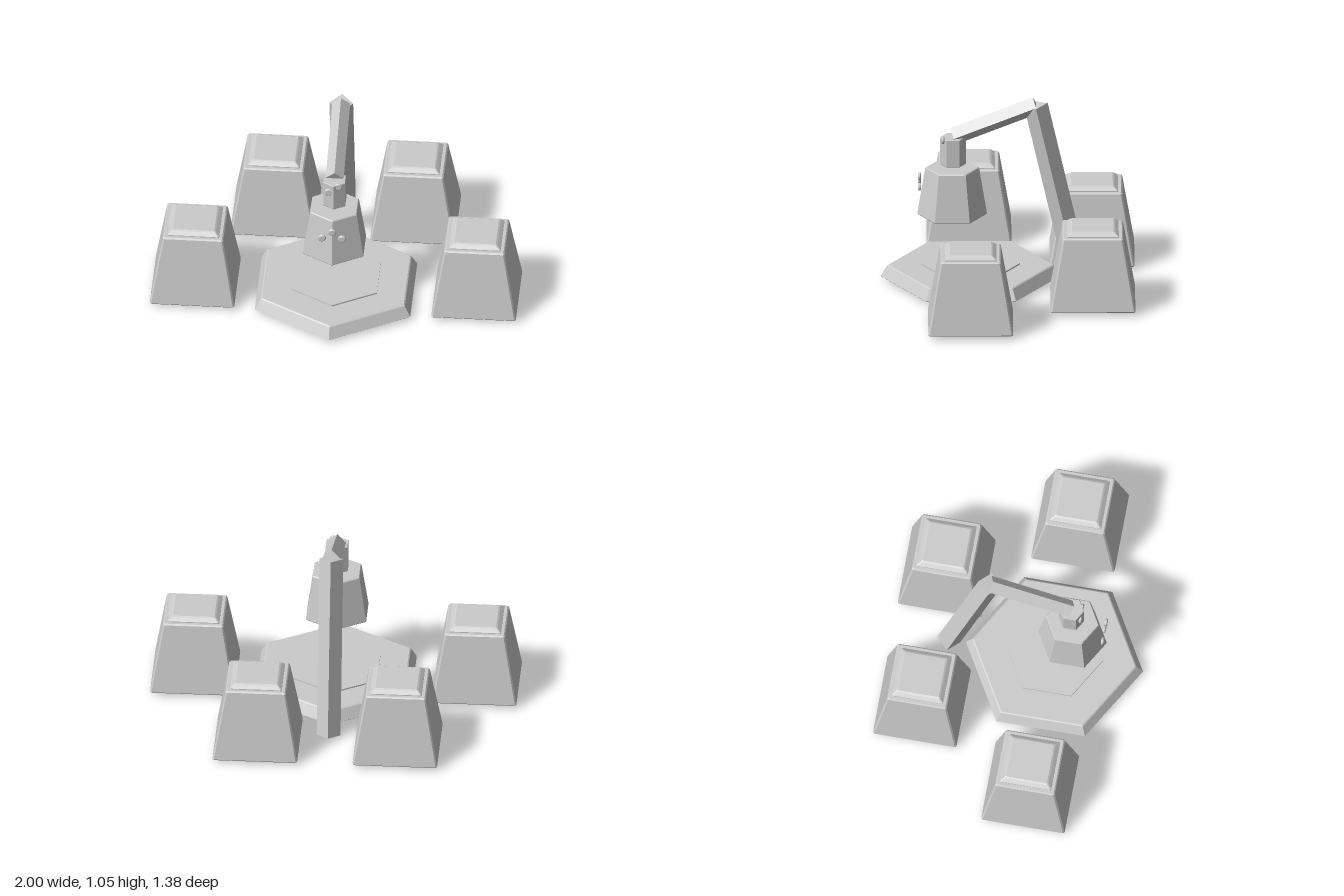
import * as THREE from 'three';

const material = new THREE.MeshStandardMaterial({ color: 0xcccccc, flatShading: true });

function addMesh(parent, name, geometry, x = 0, y = 0, z = 0) {
  const mesh = new THREE.Mesh(geometry, material);
  mesh.name = name;
  mesh.position.set(x, y, z);
  parent.add(mesh);
  return mesh;
}

// Square outline with chamfered corners, h = half width, c = chamfer
function squareRing(h, c) {
  const k = h - c;
  return [[k, h], [h, k], [h, -k], [k, -h], [-k, -h], [-h, -k], [-h, k], [-k, h]];
}

// Hexagon outline with a corner towards +z
function hexRing(r) {
  return Array.from({ length: 6 }, (_, i) => {
    const a = (i * Math.PI) / 3;
    return [r * Math.sin(a), r * Math.cos(a)];
  });
}

// Closed solid through rings stacked in y: each section is [y, ring]
function loft(sections) {
  const n = sections[0][1].length;
  const pos = [], index = [];
  for (const [y, ring] of sections) for (const [x, z] of ring) pos.push(x, y, z);
  const last = sections.length - 1;
  for (let s = 0; s < last; s++) {
    for (let i = 0; i < n; i++) {
      const j = (i + 1) % n;
      const a = s * n + i, b = s * n + j;
      index.push(a, b, b + n, a, b + n, a + n);
    }
  }
  for (let i = 1; i < n - 1; i++) {
    index.push(0, i + 1, i);
    index.push(last * n, last * n + i, last * n + i + 1);
  }
  const indexed = new THREE.BufferGeometry();
  indexed.setAttribute('position', new THREE.Float32BufferAttribute(pos, 3));
  indexed.setIndex(index);
  const geometry = indexed.toNonIndexed();
  geometry.computeVertexNormals();
  return geometry;
}

// Diamond-section beam between two points in the x = 0 plane
function addBeam(parent, name, radius, from, to) {
  const dir = to.clone().sub(from);
  const mesh = addMesh(parent, name, new THREE.CylinderGeometry(radius, radius, dir.length(), 4));
  mesh.position.copy(from).add(to).multiplyScalar(0.5);
  mesh.rotation.x = Math.atan2(dir.z, dir.y);
}

// Small round button facing +z
function addButton(parent, name, x, y, z) {
  const r = 0.022, t = 0.008;
  const profile = [[0, -t], [r * 0.75, -t], [r, -t * 0.4], [r, t * 0.4], [r * 0.75, t], [0, t]];
  const geometry = new THREE.LatheGeometry(profile.map(([a, b]) => new THREE.Vector2(a, b)), 12);
  geometry.rotateX(Math.PI / 2);
  addMesh(parent, name, geometry, x, y, z);
}

export function createModel() {
  const model = new THREE.Group();
  model.name = 'lampTableWithStools';

  // Hexagonal platform and its raised centre plate
  const base = new THREE.Group();
  base.name = 'base';
  model.add(base);
  addMesh(base, 'platform', loft([
    [0.02, hexRing(0.485)], [0.024, hexRing(0.49)], [0.084, hexRing(0.455)], [0.089, hexRing(0.447)],
  ]), 0, 0, 0.2);
  addMesh(base, 'centrePlate', loft([[0.08, hexRing(0.27)], [0.097, hexRing(0.27)]]), 0, 0, 0.2);

  // Leaning post and sloping arm
  const crane = new THREE.Group();
  crane.name = 'crane';
  model.add(crane);
  const elbow = new THREE.Vector3(0, 1.006, -0.157);
  addBeam(crane, 'post', 0.065, new THREE.Vector3(0, 0.016, -0.384), elbow);
  addBeam(crane, 'arm', 0.049, elbow, new THREE.Vector3(0, 0.829, 0.292));

  // Hanging neck and flared head, each with buttons at the front
  const lamp = new THREE.Group();
  lamp.name = 'lamp';
  model.add(lamp);
  addMesh(lamp, 'neck', loft([
    [0.668, hexRing(0.067)], [0.672, hexRing(0.07)], [0.822, hexRing(0.07)], [0.826, hexRing(0.067)],
  ]), 0, 0, 0.295);
  addMesh(lamp, 'head', loft([
    [0.38, hexRing(0.187)], [0.384, hexRing(0.19)], [0.645, hexRing(0.147)], [0.65, hexRing(0.142)],
  ]), 0, 0, 0.3);
  for (const [x, y] of [[-0.055, 0.557], [0, 0.598], [0.055, 0.557]]) {
    addButton(lamp, 'headButton', x, y, 0.477);
  }
  for (const [x, y] of [[-0.03, 0.775], [0.025, 0.815]]) {
    addButton(lamp, 'neckButton', x, y, 0.35);
  }

  // Four tapered stools with bevelled cushions
  const bodyGeometry = loft([
    [0.02, squareRing(0.228, 0.008)], [0.025, squareRing(0.231, 0.008)],
    [0.416, squareRing(0.165, 0.008)], [0.423, squareRing(0.158, 0.006)],
  ]);
  const cushionGeometry = loft([
    [0.41, squareRing(0.141, 0.005)], [0.428, squareRing(0.141, 0.005)],
    [0.444, squareRing(0.122, 0.005)], [0.449, squareRing(0.113, 0.005)],
  ]);
  for (const side of [-1, 1]) {
    for (const [x, z] of [[0.769, 0.204], [0.382, -0.464]]) {
      const stool = new THREE.Group();
      stool.name = (side > 0 ? 'left' : 'right') + (z > 0 ? 'Front' : 'Rear') + 'Stool';
      stool.position.set(side * x, 0, z);
      addMesh(stool, 'stoolBody', bodyGeometry);
      addMesh(stool, 'stoolCushion', cushionGeometry);
      model.add(stool);
    }
  }
  return model;
}
